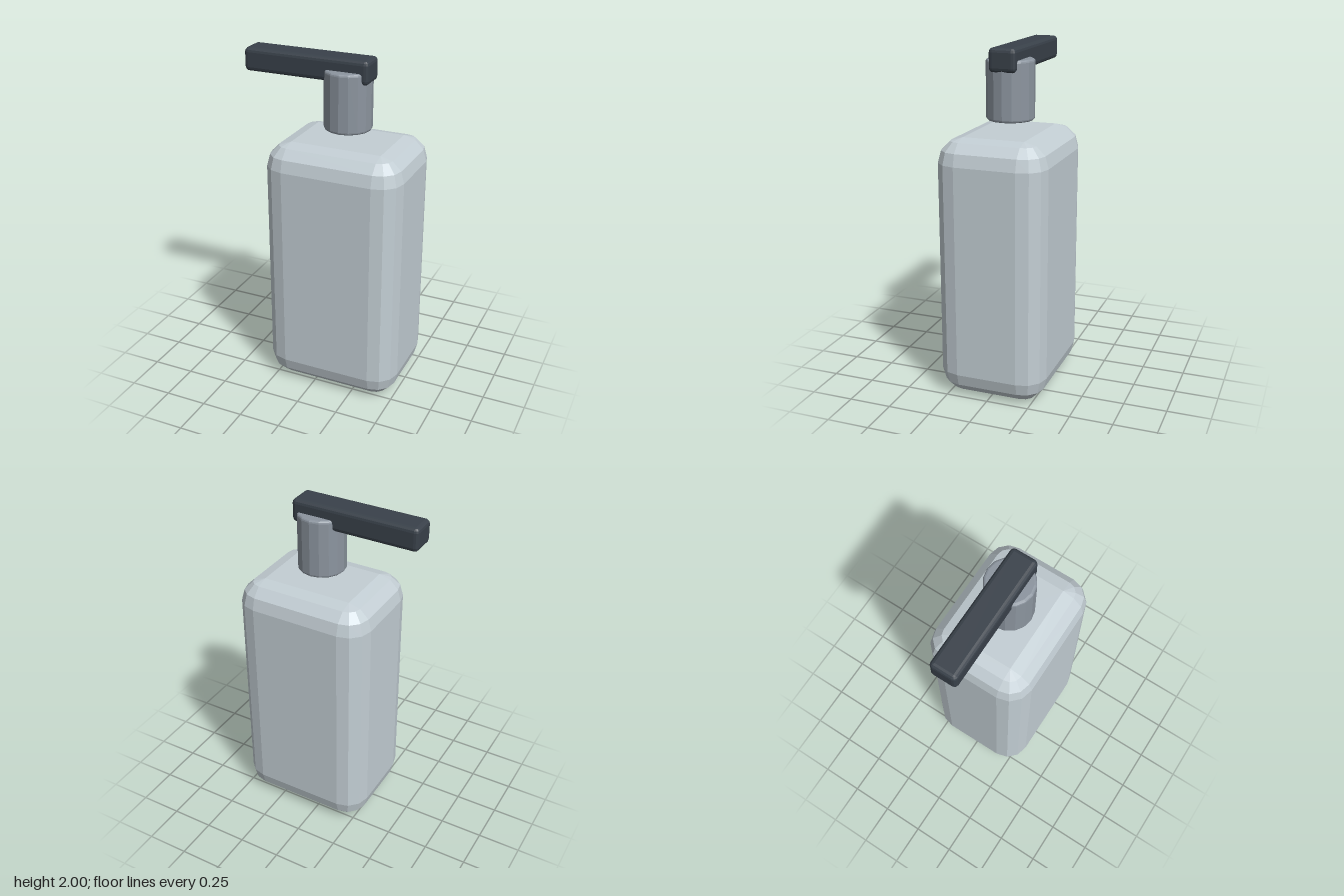
import * as THREE from 'three';
import { ConvexGeometry } from 'three/addons/geometries/ConvexGeometry.js';

// Box with faceted round edges: three bevel steps per quarter turn.
function bevelBox(w, h, d, r, steps = 3) {
  const points = [];
  for (const sx of [-1, 1]) for (const sy of [-1, 1]) for (const sz of [-1, 1]) {
    for (let i = 0; i <= steps; i++) {
      const lat = (i / steps) * Math.PI / 2;
      const count = i === steps ? 0 : steps; // one point at the pole
      for (let j = 0; j <= count; j++) {
        const lon = (j / steps) * Math.PI / 2;
        points.push(new THREE.Vector3(
          sx * (w / 2 - r + r * Math.cos(lat) * Math.cos(lon)),
          sy * (h / 2 - r + r * Math.sin(lat)),
          sz * (d / 2 - r + r * Math.cos(lat) * Math.sin(lon))
        ));
      }
    }
  }
  return new ConvexGeometry(points);
}

// Sixteen-sided cylinder with small bevelled rims.
function bevelCylinder(radius, h, r, steps = 3) {
  const profile = [new THREE.Vector2(0, -h / 2)];
  for (const s of [-1, 1]) {
    for (let i = 0; i <= steps; i++) {
      const a = ((s < 0 ? steps - i : i) / steps) * Math.PI / 2;
      profile.push(new THREE.Vector2(radius - r + r * Math.cos(a), s * (h / 2 - r + r * Math.sin(a))));
    }
  }
  profile.push(new THREE.Vector2(0, h / 2));
  return new THREE.LatheGeometry(profile, 16);
}

export function createModel() {
  const material = (name, color) =>
    new THREE.MeshStandardMaterial({ name, color, flatShading: true });
  const bottleGrey = material('pale bottle grey', 0xc3ced4);
  const collarGrey = material('mid collar grey', 0x8c959f);
  const leverDark = material('dark lever slate', 0x39414a);

  const group = new THREE.Group();
  group.name = 'soapDispenser';
  const add = (name, geometry, mat, x, y) => {
    const mesh = new THREE.Mesh(geometry, mat);
    mesh.name = name;
    mesh.position.set(x, y, 0);
    group.add(mesh);
  };

  // Bottle
  add('bottle', bevelBox(0.82, 1.52, 0.64, 0.14), bottleGrey, 0.1, 0.763);
  // Pump collar, floating above the bottle
  add('pumpCollar', bevelCylinder(0.139, 0.345, 0.015), collarGrey, 0.1, 1.758);
  // Lever with the spout reaching to the right
  add('pumpLever', bevelBox(0.758, 0.136, 0.16, 0.025), leverDark, -0.133, 1.932);

  return group;
}
